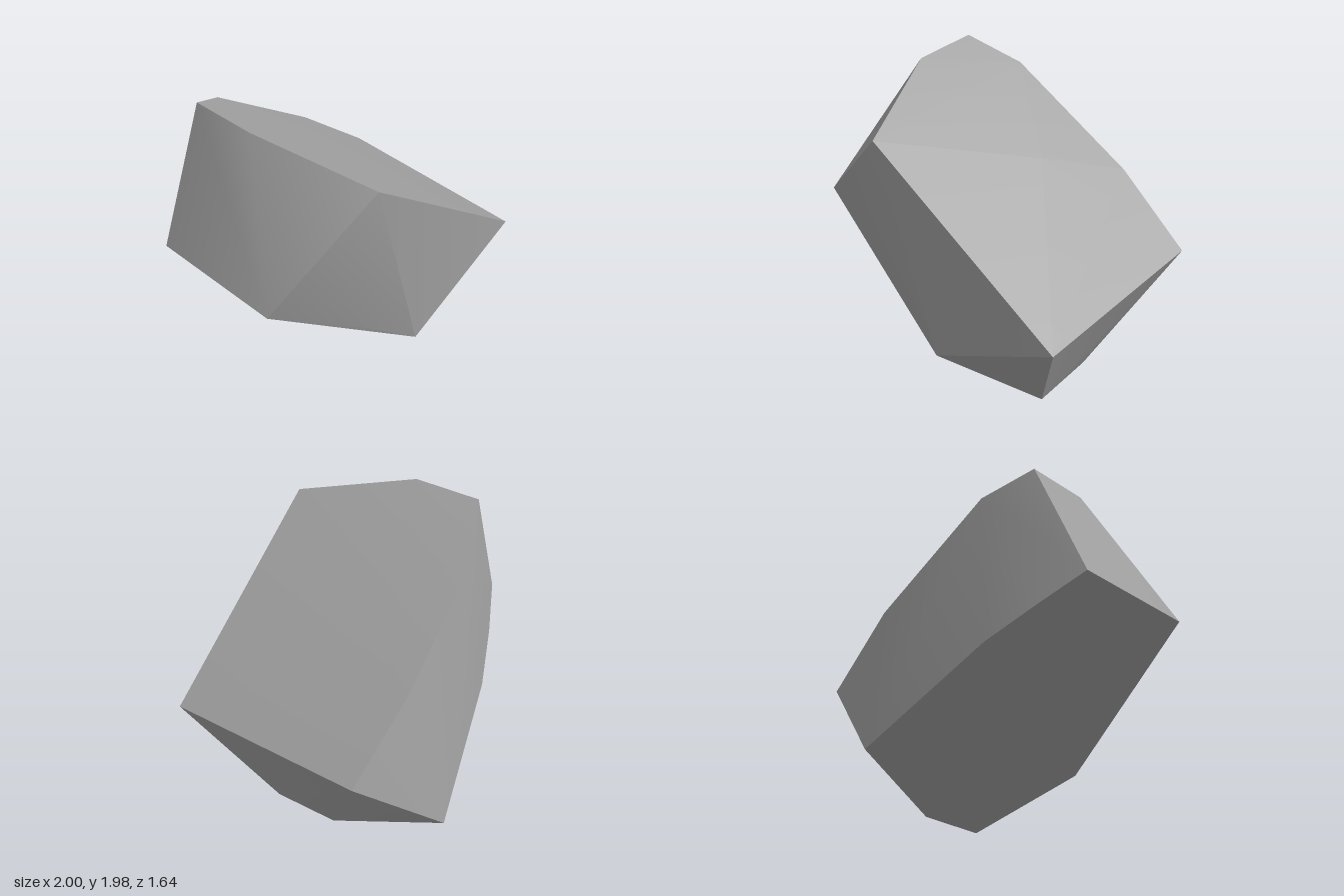
import * as THREE from 'three';
import { ConvexGeometry } from 'three/addons/geometries/ConvexGeometry.js';
import { toCreasedNormals } from 'three/addons/utils/BufferGeometryUtils.js';

export function createModel() {
  const group = new THREE.Group();
  group.name = 'rock';
  const stone = new THREE.MeshStandardMaterial({ color: 0xa0a0a0 });
  stone.name = 'grey stone';

  // Rim of the sloping top, with a slight swell in the middle
  const top = [
    [-0.35, 1.8, 0.82], [0.98, 0.845, 0.8], [1, 0.865, -0.56], [0.49, 1.26, -0.61],
    [-0.33, 1.81, -0.55], [-0.63, 1.98, -0.38], [-0.63, 1.98, 0.08], [0.2, 1.47, -0.1],
  ];
  // Rim of the sloping underside
  const bottom = [
    [-1, 1.12, 0.58], [-0.43, 0.78, 0.72], [0.08, 0.4, 0.81], [0.58, 0, 0.36],
    [0.58, 0.01, -0.1], [0.36, 0.22, -0.82], [-0.42, 0.75, -0.61],
    [-0.73, 0.95, -0.47], [-0.99, 1.13, -0.33],
  ];

  // One chipped boulder: soft swells inside the faces, sharp edges between them
  const hull = new ConvexGeometry([...top, ...bottom].map(p => new THREE.Vector3(...p)));
  const boulder = new THREE.Mesh(toCreasedNormals(hull, 0.6), stone);
  boulder.name = 'boulder';
  group.add(boulder);
  return group;
}
